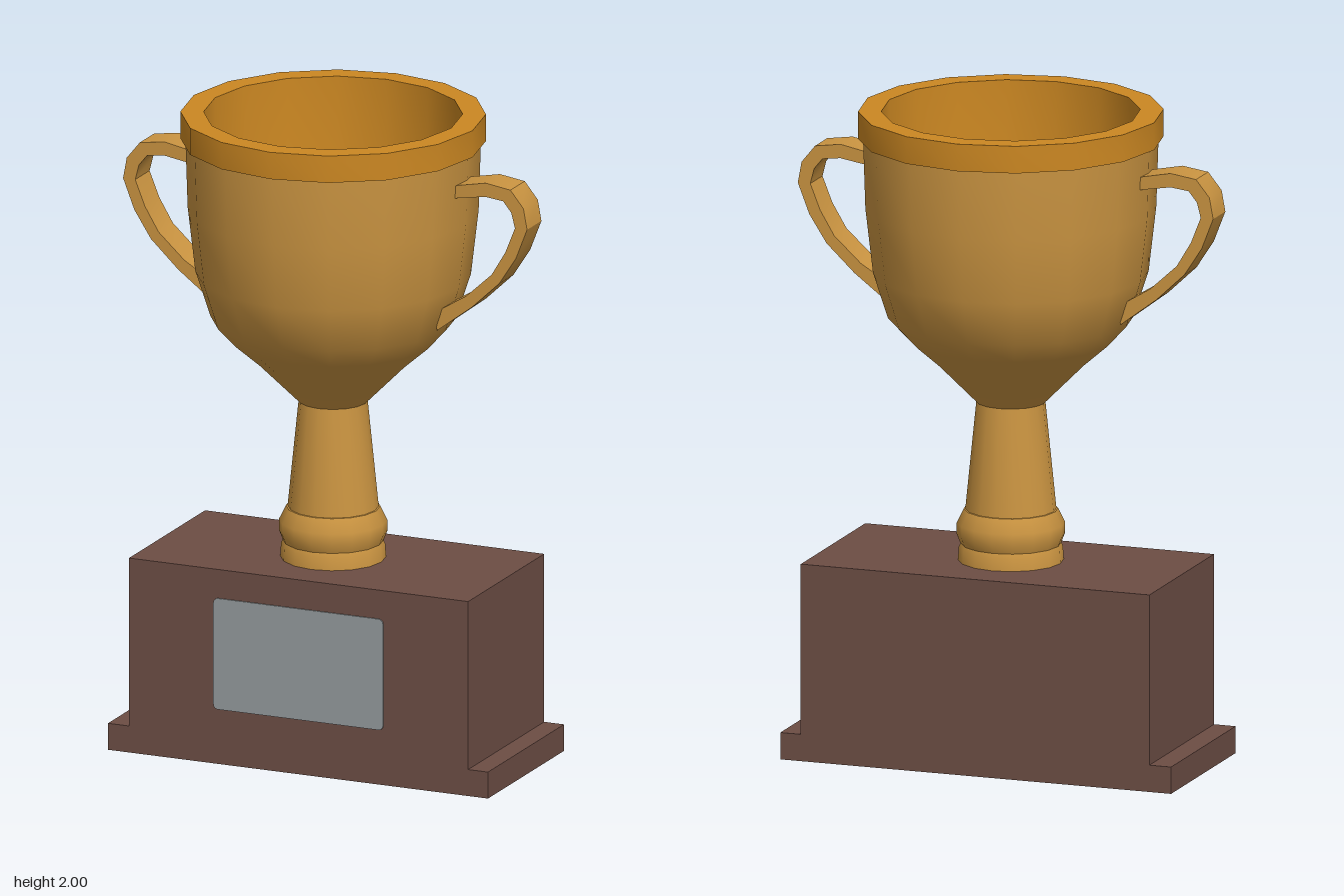
import * as THREE from 'three';
import { toCreasedNormals } from 'three/addons/utils/BufferGeometryUtils.js';

const SIDES = 16;

function material(name, color) {
  const m = new THREE.MeshStandardMaterial({ color });
  m.name = name;
  return m;
}

export function createModel() {
  const trophy = new THREE.Group();
  trophy.name = 'trophy';
  const gold = material('gold', 0xca9441);
  const richGold = material('richGold', 0xcb8722);
  const wood = material('wood', 0x6c4d44);
  const silver = material('silver', 0x949a9c);

  function add(name, geometry, mat, x = 0, y = 0, z = 0) {
    const mesh = new THREE.Mesh(geometry, mat);
    mesh.name = name;
    mesh.position.set(x, y, z);
    trophy.add(mesh);
    return mesh;
  }
  const vectors = (pts) => pts.map(([x, y]) => new THREE.Vector2(x, y));
  const turned = (pts, crease) =>
    toCreasedNormals(new THREE.LatheGeometry(vectors(pts), SIDES), crease);

  // Stepped wooden base
  add('plinth', new THREE.BoxGeometry(1.255, 0.083, 0.555), wood, 0.008, 0.0415, -0.003);
  add('baseBlock', new THREE.BoxGeometry(1.12, 0.527, 0.555), wood, 0.01, 0.3465, -0.003);

  // Rounded plate on the front of the base
  const w = 0.28, h = 0.174, r = 0.015;
  const plate = new THREE.Shape();
  plate.absarc(w - r, h - r, r, 0, Math.PI / 2);
  plate.absarc(-w + r, h - r, r, Math.PI / 2, Math.PI);
  plate.absarc(-w + r, -h + r, r, Math.PI, Math.PI * 1.5);
  plate.absarc(w - r, -h + r, r, Math.PI * 1.5, Math.PI * 2);
  add('plaque', new THREE.ExtrudeGeometry(plate, { depth: 0.004, bevelEnabled: false, curveSegments: 3 }),
    silver, 0.01, 0.346, 0.2745);

  // Foot, collar and tapering stem
  add('foot', turned([[0.16, 0.6], [0.157, 0.65], [0.148, 0.67]], 0.6), gold);
  add('collar', turned([[0.12, 0.66], [0.152, 0.662], [0.163, 0.69], [0.163, 0.725], [0.142, 0.768], [0.12, 0.77]], 0.75), gold);
  add('stem', turned([[0.14, 0.74], [0.102, 1.12]], 0.6), gold);

  // Outside of the bowl
  add('bowl', turned([[0, 1.1], [0.105, 1.1], [0.235, 1.23], [0.31, 1.295], [0.37, 1.36],
    [0.415, 1.5], [0.438, 1.7], [0.445, 1.92]], 0.7), gold);

  // Rim, continuing down as the lining of the bowl
  add('rimAndLining', turned([[0.43, 1.916], [0.46, 1.916], [0.46, 2], [0.39, 2], [0.387, 1.72],
    [0.365, 1.53], [0.325, 1.4], [0.21, 1.27], [0.1, 1.18], [0, 1.155]], 0.7), richGold);

  // Flat strap handles, one outline mirrored to both sides
  const outline = [[0.41, 1.832], [0.44, 1.842], [0.53, 1.86], [0.612, 1.848], [0.655, 1.795], [0.667, 1.73],
    [0.63, 1.635], [0.575, 1.55], [0.485, 1.465], [0.37, 1.378],
    [0.355, 1.43], [0.465, 1.497], [0.55, 1.575], [0.595, 1.65], [0.627, 1.73],
    [0.615, 1.777], [0.588, 1.81], [0.53, 1.817], [0.44, 1.802], [0.41, 1.795]];
  for (const side of [1, -1]) {
    const shape = new THREE.Shape(vectors(outline.map(([x, y]) => [x * side, y])));
    const strap = new THREE.ExtrudeGeometry(shape, { depth: 0.105, bevelEnabled: false });
    add(side > 0 ? 'leftHandle' : 'rightHandle', toCreasedNormals(strap, 0.5), gold, 0, 0, -0.046);
  }

  return trophy;
}
